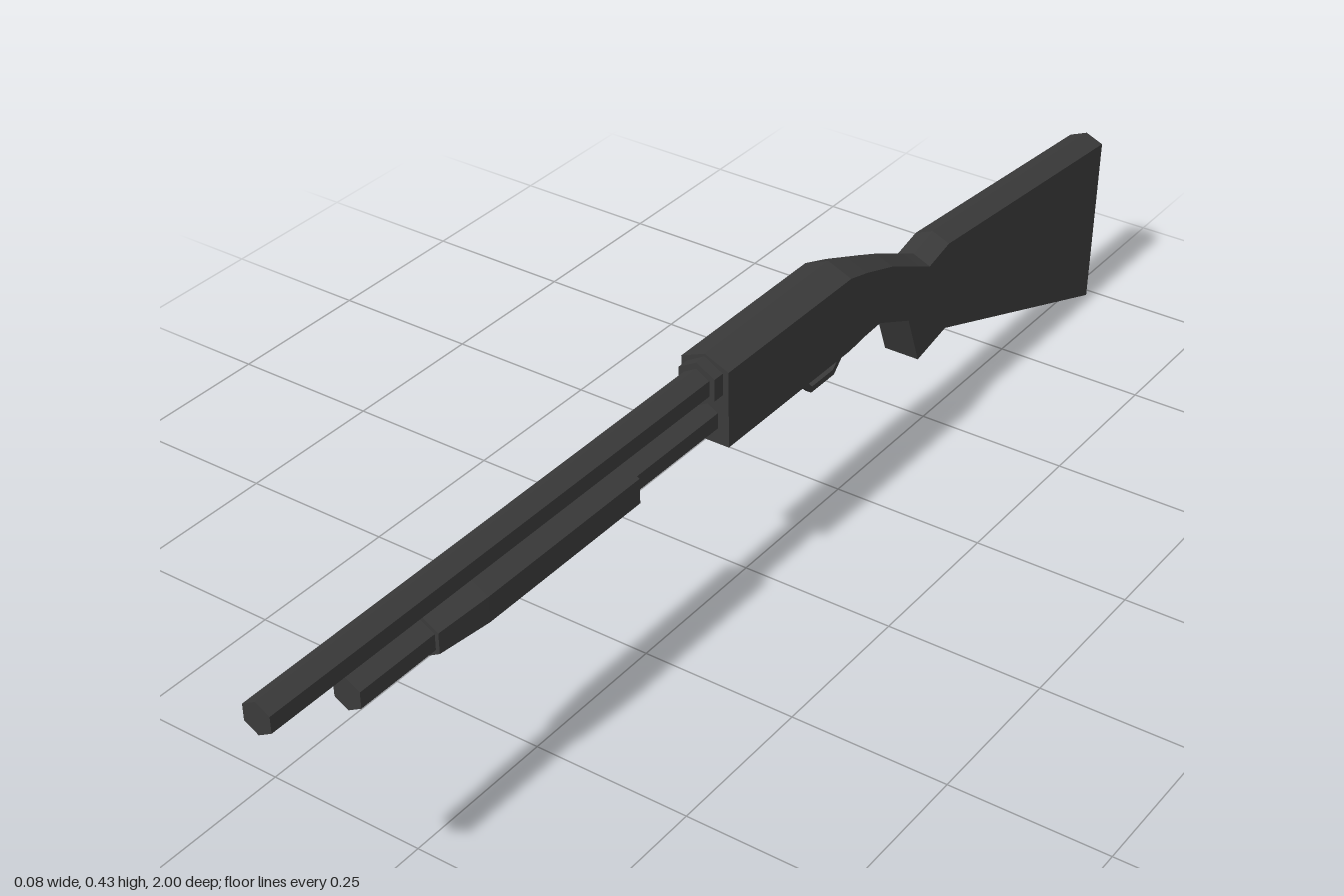
import * as THREE from 'three';

const darkMetal = new THREE.MeshStandardMaterial({ color: 0x3a3a3a, flatShading: true });
darkMetal.name = 'darkGrey';

function addMesh(group, name, geometry) {
  const mesh = new THREE.Mesh(geometry, darkMetal);
  mesh.name = name;
  group.add(mesh);
}

// Hexagonal bar along z, with a ridge on top
function hexBar(y, zFront, zBack, rFront, rBack = rFront) {
  return new THREE.CylinderGeometry(rFront, rBack, zFront - zBack, 6)
    .rotateX(Math.PI / 2)
    .translate(0, y, (zFront + zBack) / 2);
}

// Skin over a row of equal-sized corner loops, closed at both ends
function loft(sections) {
  const n = sections[0].length;
  const last = sections.length - 1;
  const index = [];
  for (let s = 0; s < last; s++) {
    for (let i = 0; i < n; i++) {
      const a = s * n + i, b = s * n + (i + 1) % n;
      index.push(a, a + n, b, b, a + n, b + n);
    }
  }
  for (let i = 1; i < n - 1; i++) {
    index.push(0, i, i + 1, last * n, last * n + i + 1, last * n + i);
  }
  const geometry = new THREE.BufferGeometry();
  geometry.setAttribute('position', new THREE.Float32BufferAttribute(sections.flat(2), 3));
  geometry.setIndex(index);
  const flat = geometry.toNonIndexed();
  flat.computeVertexNormals();
  return flat;
}

// Five-cornered section: ridge, two shoulders, flat underside
function bodySection([zTop, yTop, zBottom, yBottom, w]) {
  const shoulder = yTop - w * 0.42;
  return [
    [0, yTop, zTop], [-w, shoulder, zTop], [-w, yBottom, zBottom],
    [w, yBottom, zBottom], [w, shoulder, zTop],
  ];
}

// Flat strip following a path of [z, y, halfWidth]
function strip(path, thickness) {
  return loft(path.map(([z, y, w], i) => {
    const p = path[Math.max(i - 1, 0)], q = path[Math.min(i + 1, path.length - 1)];
    const len = Math.hypot(q[0] - p[0], q[1] - p[1]);
    const ny = -(q[0] - p[0]) / len * thickness / 2;
    const nz = (q[1] - p[1]) / len * thickness / 2;
    return [[-w, y + ny, z + nz], [-w, y - ny, z - nz], [w, y - ny, z - nz], [w, y + ny, z + nz]];
  }));
}

export function createModel() {
  const model = new THREE.Group();
  model.name = 'pumpGun';

  // Barrel, its collar and the tube below
  addMesh(model, 'barrel', hexBar(0.386, 1, 0.09, 0.025));
  addMesh(model, 'barrelCollar', hexBar(0.386, 0.12, 0.09, 0.035));
  addMesh(model, 'magazineTube', hexBar(0.323, 0.85, 0.09, 0.025));

  // Sliding grip with a tapered nose
  addMesh(model, 'foreEnd', hexBar(0.323, 0.62, 0.3, 0.04));
  addMesh(model, 'foreEndNose', hexBar(0.323, 0.71, 0.62, 0.032, 0.04));

  // Receiver, narrowing into the wrist
  const receiver = [
    [0.1, 0.425, 0.1, 0.285, 0.04],
    [-0.21, 0.425, -0.21, 0.285, 0.04],
    [-0.26, 0.408, -0.26, 0.285, 0.036],
    [-0.34, 0.376, -0.31, 0.28, 0.03],
    [-0.42, 0.338, -0.393, 0.243, 0.03],
  ];
  addMesh(model, 'receiver', loft(receiver.map(bodySection)));

  // Grip and shoulder stock
  const stock = [
    [-0.42, 0.338, -0.393, 0.243, 0.03],
    [-0.45, 0.324, -0.425, 0.157, 0.03],
    [-0.505, 0.338, -0.505, 0.174, 0.03],
    [-1, 0.297, -0.985, 0, 0.03],
  ];
  addMesh(model, 'stock', loft(stock.map(bodySection)));

  // Trigger guard, flared where it meets the receiver
  addMesh(model, 'triggerGuard', strip([
    [-0.13, 0.29, 0.013], [-0.143, 0.25, 0.005], [-0.163, 0.23, 0.005],
    [-0.222, 0.23, 0.005], [-0.246, 0.253, 0.005], [-0.248, 0.29, 0.013],
  ], 0.01));

  return model;
}
